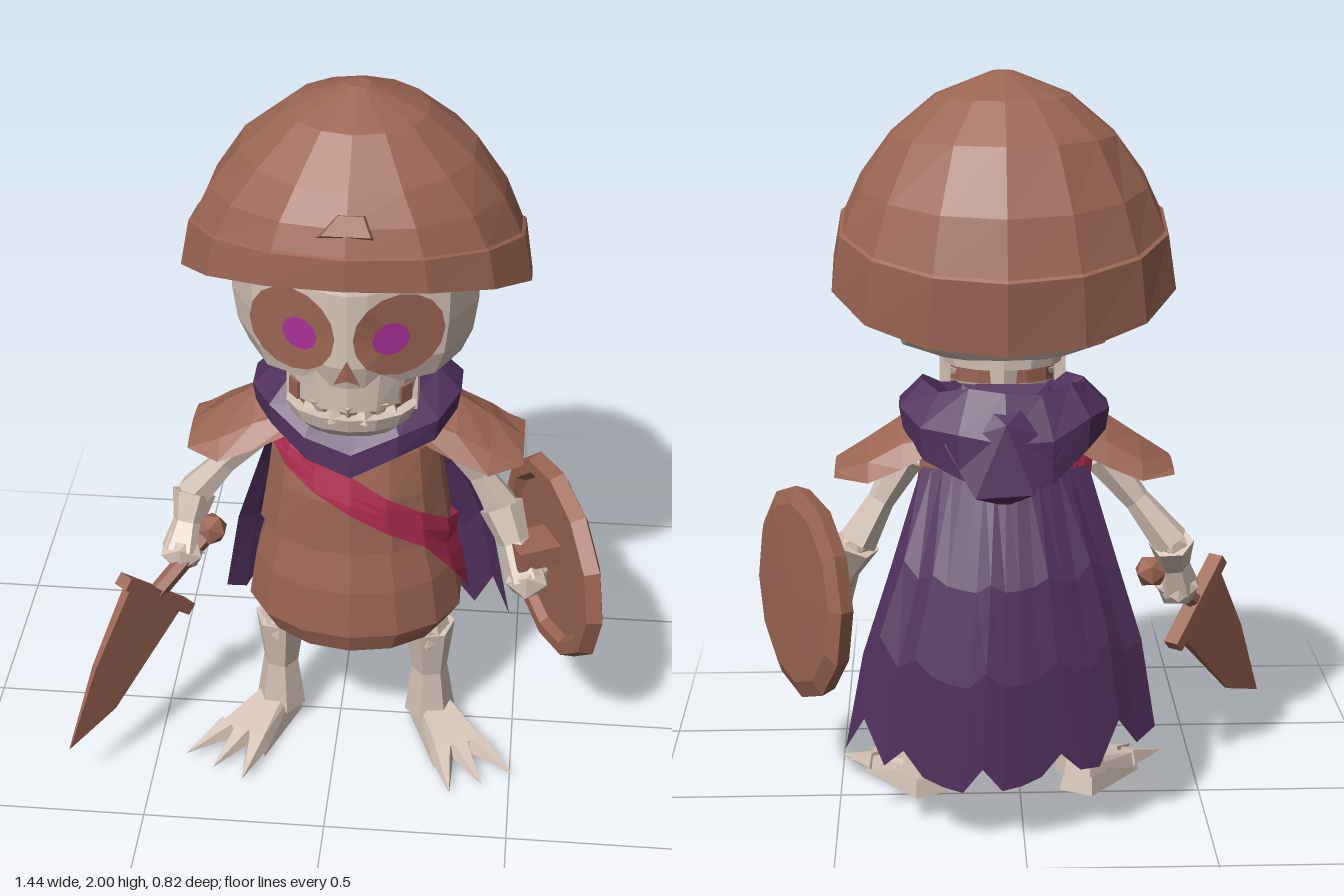
import * as THREE from 'three';
import { ConvexGeometry } from 'three/addons/geometries/ConvexGeometry.js';

const paint = (name, color, side = THREE.FrontSide) =>
  Object.assign(new THREE.MeshStandardMaterial({ color, flatShading: true, side }), { name });
const CX = 0.045; // body centre line

export function createModel() {
  const model = new THREE.Group();
  const brown = paint('leather brown', 0x9b6553, THREE.DoubleSide);
  const bone = paint('bone', 0xd6c4b8);
  const purple = paint('cloth purple', 0x50305c, THREE.DoubleSide);
  const crimson = paint('sash crimson', 0xac2b4e, THREE.DoubleSide);
  const magenta = paint('eye magenta', 0xaa3098);
  const V = (x, y, z) => new THREE.Vector3(x, y, z);

  const add = (name, geo, mat, parent = model) => {
    const m = new THREE.Mesh(geo, mat);
    m.name = name;
    parent.add(m);
    return m;
  };
  // skin over rows of points, rows running bottom to top
  const loft = (rows, closed = true) => {
    const n = rows[0].length, idx = [];
    for (let i = 0; i < rows.length - 1; i++)
      for (let j = 0; j < (closed ? n : n - 1); j++) {
        const a = i * n + j, b = i * n + (j + 1) % n;
        idx.push(a, b, b + n, a, b + n, a + n);
      }
    const g = new THREE.BufferGeometry();
    g.setAttribute('position', new THREE.Float32BufferAttribute(rows.flat(2), 3));
    g.setIndex(idx);
    g.computeVertexNormals();
    return g;
  };
  const around = (n, f) => Array.from({ length: n }, (_, i) => {
    const a = i / n * Math.PI * 2;
    return f(Math.sin(a), Math.cos(a), a, i);
  });
  const ring = (y, rx, rz, z = 0, slope = 0, n = 14) =>
    around(n, (s, c) => [CX + s * rx, y + slope * c * rz, z + c * rz]);
  // limb bone: thin shaft, wide ends
  const limb = (name, a, b, r) => {
    const len = a.distanceTo(b), g = new THREE.CylinderGeometry(r, r, len, 6, 4), p = g.attributes.position;
    for (let i = 0; i < p.count; i++) {
      const k = 0.7 + 0.3 * Math.abs(2 * p.getY(i) / len);
      p.setX(i, p.getX(i) * k);
      p.setZ(i, p.getZ(i) * k);
    }
    const m = add(name, g, bone);
    m.position.copy(a).add(b).multiplyScalar(0.5);
    m.quaternion.setFromUnitVectors(V(0, 1, 0), b.clone().sub(a).normalize());
  };
  const knob = (name, p, r, mat) => add(name, new THREE.IcosahedronGeometry(r, 0), mat).position.copy(p);

  // helmet: inside, tilted rim band, dome
  add('helmet', loft([
    ring(1.82, 0, 0), ring(1.8, 0.3, 0.27), ring(1.49, 0.405, 0.34, -0.01, 0.38), ring(1.475, 0.46, 0.385, -0.01, 0.38),
    ring(1.61, 0.437, 0.388, -0.02, 0.24), ring(1.615, 0.427, 0.38, -0.02, 0.24), ring(1.72, 0.382, 0.35, -0.015, 0.14),
    ring(1.84, 0.3, 0.285), ring(1.94, 0.18, 0.17), ring(2, 0.03, 0.03), ring(2, 0, 0)]), brown);
  const dent = add('helmetDent', new ConvexGeometry([
    V(-0.09, -0.035, -0.02), V(0.075, -0.035, -0.02), V(-0.03, 0.035, -0.02), V(0.05, 0.035, -0.02),
    V(-0.06, -0.025, 0.015), V(0.06, -0.025, 0.015), V(-0.02, 0.025, 0.015), V(0.04, 0.025, 0.015)]), brown);
  dent.position.set(CX, 1.77, 0.318);
  dent.rotation.x = -0.5;

  // skull
  const half = [[0, 0.31], [0.05, 0.3], [0.25, 0.205], [0.32, 0.08], [0.31, -0.1], [0.2, -0.22], [0, -0.26]];
  const outline = [...half, ...half.slice(1, -1).reverse().map(([x, z]) => [-x, z])];
  add('skull', loft([[1.25, 0, 0, 0], [1.25, 0.5, 0.6, 0.3], [1.29, 0.86, 0.93, 0.45], [1.36, 0.95, 1, 0.8],
    [1.45, 0.99, 1, 1], [1.57, 1, 1, 1.1], [1.68, 0.95, 0.9, 1.1], [1.8, 0.5, 0.5, 0.5]]
    .map(([y, w, f, b]) => outline.map(([x, z]) => [CX + x * w, y, z * (z > 0 ? f : b)]))), bone);
  // thin plates laid on the face
  const drape = (name, geo, mat, lift) => {
    const p = geo.attributes.position;
    for (let i = 0; i < p.count; i++) {
      const d = Math.abs(p.getX(i) - CX);
      p.setZ(i, lift + (d < 0.05 ? 0.31 - 0.2 * d : 0.3 - 0.475 * (d - 0.05)));
    }
    add(name, geo, mat);
  };
  for (const s of [-1, 1]) {
    drape('eyeSocket', new THREE.CircleGeometry(1, 16).scale(0.112, 0.116, 1).translate(CX - 0.008 + s * 0.135, 1.447, 0), brown, 0.009);
    drape('pupil', new THREE.CircleGeometry(0.046, 10).translate(CX - 0.007 + s * 0.115, 1.443, 0), magenta, 0.015);
  }
  drape('nose', new THREE.ShapeGeometry(new THREE.Shape([
    new THREE.Vector2(CX - 0.034, 1.315), new THREE.Vector2(CX, 1.33), new THREE.Vector2(CX + 0.034, 1.315),
    new THREE.Vector2(CX, 1.39)])), brown, 0.008);
  // jaws and teeth
  add('upperJaw', loft([ring(1.215, 0, 0, 0.12), ring(1.215, 0.165, 0.165, 0.12), ring(1.34, 0.19, 0.17, 0.12)]), bone);
  add('mouth', loft([ring(1.16, 0.15, 0.11, 0.15), ring(1.23, 0.15, 0.11, 0.15)]), brown);
  add('lowerJaw', loft([ring(1.115, 0, 0, 0.17), ring(1.115, 0.12, 0.07, 0.17), ring(1.15, 0.155, 0.105, 0.17),
    ring(1.192, 0.172, 0.118, 0.17), ring(1.192, 0, 0, 0.17)]), bone);
  for (let i = -4; i <= 4; i++) {
    const a = i * 0.27;
    const tooth = add('tooth', new THREE.ConeGeometry(0.03, 0.05, 4), bone);
    tooth.position.set(CX + Math.sin(a) * 0.145, 1.205, 0.12 + Math.cos(a) * 0.145);
    tooth.rotation.set(i % 2 ? 0 : Math.PI, a, 0);
  }
  for (const s of [-1, 1]) {
    add('jawHinge', new THREE.BoxGeometry(0.03, 0.13, 0.09).translate(CX + s * 0.155, 1.225, 0.12), bone);
    const gap = add('mouthCorner', new THREE.BoxGeometry(0.04, 0.05, 0.008), brown);
    gap.position.set(CX + s * 0.143, 1.245, 0.221);
    gap.rotation.y = s * 0.9;
  }
  limb('neck', V(CX, 1.0, 0), V(CX, 1.28, 0), 0.05);

  // tunic: skirt below, overhanging vest above
  const tunic = [[0.4, 0.26, 0.215], [0.46, 0.3, 0.235], [0.6, 0.28, 0.225], [0.72, 0.245, 0.2],
    [0.725, 0.265, 0.215], [0.88, 0.24, 0.205], [1.0, 0.225, 0.17], [1.1, 0.17, 0.12]];
  add('tunic', loft([ring(0.43, 0, 0, 0.015), ...tunic.map(([y, rx, rz]) => ring(y, rx, rz, 0.015)), ring(1.1, 0, 0)]), brown);
  const girth = (y) => {
    let i = 0;
    while (i < tunic.length - 2 && tunic[i + 1][0] < y) i++;
    const [a, b] = [tunic[i], tunic[i + 1]], t = Math.min(1, (y - a[0]) / (b[0] - a[0]));
    return [1, 2].map((k) => a[k] + (b[k] - a[k]) * t);
  };
  // sash: centre height and half width at 16 steps round the body, widest on the left hip
  const sash = [[0.915, 0.053], [0.85, 0.053], [0.785, 0.055], [0.69, 0.085], [0.61, 0.125], [0.6, 0.1], [0.64, 0.06], [0.71, 0.055],
    [0.78, 0.053], [0.86, 0.053], [0.93, 0.053], [0.99, 0.053], [1.04, 0.05], [1.05, 0.05], [1.01, 0.053], [0.965, 0.053]];
  add('sash', loft([-1, -0.5, 0, 0.5, 1].map((t) => around(16, (s, c, a, i) => {
    const y = sash[i][0] + t * sash[i][1], [rx, rz] = girth(y);
    return [CX + s * (rx + 0.018), y, 0.015 + c * (rz + 0.018)];
  }))), crimson);

  // shoulder flaps
  for (const s of [-1, 1])
    add('shoulderFlap', loft([[0.1, 1.13, 0.14, 0.06], [0.27, 1.095, 0.16, 0.11], [0.36, 1.035, 0.17, 0.085], [0.45, 0.97, 0.11, 0.02]]
      .map(([dx, y, w, drop]) => [-1, -0.7, 0, 0.7, 1].map((t) => [CX + s * dx, y - drop * t * t, -0.02 + t * w])), false), brown);

  // scarf, dipping to a point in front
  const scarfRow = (rx, rz, front, side, back) => around(14, (s, c, a) => [
    CX + s * rx, side + (c > 0 ? (front - side) * (1 - Math.abs(s)) : (back - side) * c * c) + 0.012 * Math.sin(a * 5),
    -0.03 + c * rz]);
  add('scarf', loft([scarfRow(0.24, 0.2, 0.97, 1.08, 0.97), scarfRow(0.275, 0.245, 0.965, 1.075, 0.94),
    scarfRow(0.285, 0.235, 1.03, 1.13, 1.07), scarfRow(0.22, 0.17, 1.1, 1.195, 1.19), scarfRow(0.15, 0.1, 1.09, 1.13, 1.13)]), purple);
  // hood hanging down behind
  add('hood', new ConvexGeometry([V(-0.2, 1.12, -0.12), V(0.2, 1.12, -0.12), V(-0.11, 1.2, -0.13), V(0.11, 1.2, -0.13),
    V(-0.16, 1.06, -0.22), V(0.16, 1.06, -0.22), V(0, 1.12, -0.26), V(-0.07, 0.94, -0.285), V(0.08, 0.93, -0.28), V(0, 0.9, -0.24)])
    .translate(CX, 0, 0), purple);
  // tattered cape
  const hem = [0.27, 0.24, 0.32, 0.2, 0.2, 0.25, 0.19, 0.17, 0.16, 0.22, 0.15, 0.16, 0.18, 0.25, 0.2, 0.32, 0.22];
  add('cape', loft([[0, 0.415, -0.37, -0.21], [0.35, 0.37, -0.37, -0.21], [0.65, 0.3, -0.33, -0.19], [1, 0.22, -0.22, -0.13]]
    .map(([t, w, zMid, zEdge]) => hem.map((h, i) => {
      const u = i / 8 - 1, fold = 0.006 * Math.cos(i * 1.1) * (1 - t);
      return [CX + u * w + 0.015 * (1 - t), h + (0.98 - h) * t, zMid + (zEdge - zMid) * u * u + fold];
    })), false), purple);

  // legs and clawed feet
  for (const s of [-1, 1]) {
    const x = CX + s * 0.21;
    limb('thigh', V(x - s * 0.02, 0.6, 0.04), V(x, 0.36, 0.06), 0.06);
    knob('knee', V(x, 0.36, 0.065), 0.06, bone);
    limb('shin', V(x, 0.38, 0.055), V(x + s * 0.005, 0.05, 0.025), 0.072);
    const foot = new THREE.Group();
    foot.name = 'foot';
    foot.position.set(x, 0, 0);
    foot.rotation.y = s * 0.5;
    model.add(foot);
    add('sole', new ConvexGeometry([-1, 1].flatMap((k) => [V(k * 0.05, 0, -0.02), V(k * 0.04, 0.08, -0.005),
      V(k * 0.04, 0.085, 0.07), V(k * 0.085, 0, 0.22), V(k * 0.07, 0.05, 0.21)])), bone, foot);
    for (const k of [-1, 0, 1]) {
      const toe = add('claw', new THREE.ConeGeometry(0.036, 0.15, 5).rotateX(Math.PI / 2).translate(0, 0, 0.06), bone, foot);
      toe.position.set(k * 0.058, 0.03, 0.22);
      toe.rotation.set(0.12, k * 0.3, 0);
    }
  }

  // arms
  const arms = [[V(-0.22, 0.97, 0), V(-0.41, 0.73, -0.02), V(-0.435, 0.585, 0.055)], [V(0.31, 0.97, 0), V(0.44, 0.74, -0.02), V(0.52, 0.56, 0.06)]];
  for (const [shoulder, elbow, hand] of arms) {
    limb('upperArm', shoulder, elbow, 0.052);
    knob('elbow', elbow, 0.048, bone);
    limb('forearm', elbow, hand, 0.062);
    knob('hand', hand, 0.066, bone);
  }

  // sword: x runs along the guard, y toward the tip
  const sword = new THREE.Group();
  sword.name = 'sword';
  const along = V(-0.215, -0.36, 0.255).normalize();
  const flat = V(-0.255, 0, -0.215).normalize();
  sword.quaternion.setFromRotationMatrix(new THREE.Matrix4().makeBasis(along.clone().cross(flat), along, flat));
  sword.position.set(-0.5, 0.5, 0.155);
  model.add(sword);
  add('blade', new ConvexGeometry([-1, 1].flatMap((k) => [V(-0.125, 0, k * 0.014), V(0.115, 0, k * 0.014),
    V(0.085, 0.34, k * 0.006), V(-0.08, 0.25, k * 0.008), V(0, 0.49, k * 0.002)])), brown, sword);
  add('guard', new THREE.BoxGeometry(0.3, 0.036, 0.045), brown, sword);
  const pommel = V(-0.36, 0.635, 0.02), grip = V(-0.5, 0.5, 0.155).sub(pommel);
  const handle = add('handle', new THREE.CylinderGeometry(0.025, 0.025, grip.length(), 6), brown);
  handle.position.copy(pommel).addScaledVector(grip, 0.5);
  handle.quaternion.setFromUnitVectors(V(0, 1, 0), grip.normalize());
  knob('pommel', pommel, 0.048, brown);

  // shield: shallow dish, axis pointing out to the side
  const shield = add('shield', new THREE.LatheGeometry([[0, -0.005], [0.23, -0.005], [0.245, -0.03], [0.28, -0.03],
    [0.295, 0.01], [0.25, 0.03], [0, 0.036]].map((p) => new THREE.Vector2(...p)), 12), brown);
  shield.position.set(0.593, 0.593, 0);
  shield.quaternion.setFromUnitVectors(V(0, 1, 0), V(0.905, 0.03, -0.425).normalize());
  const strap = add('shieldStrap', new THREE.BoxGeometry(0.12, 0.06, 0.11), brown);
  strap.position.set(0.53, 0.635, 0.03);
  strap.rotation.y = 0.44;
  return model;
}
